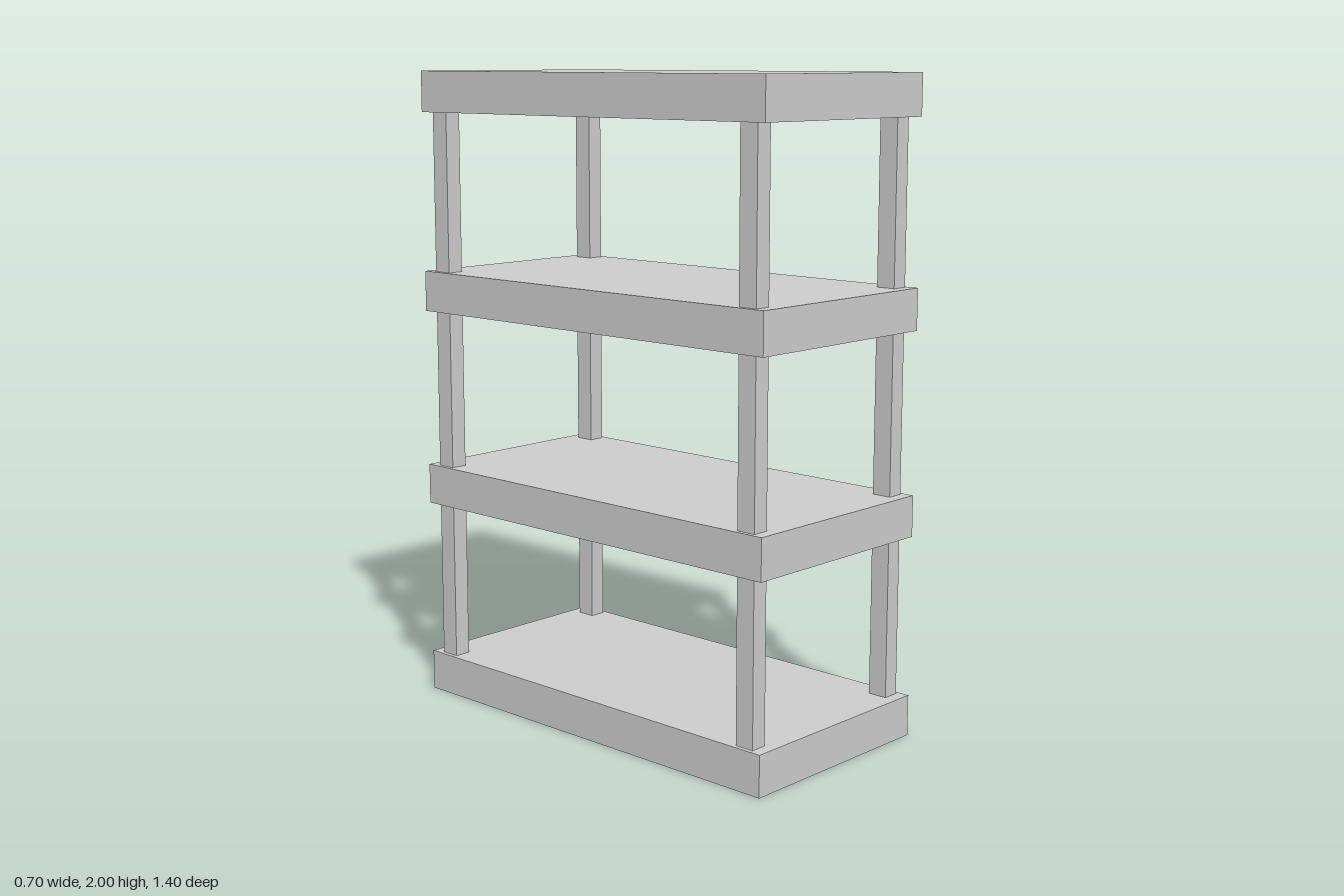
import * as THREE from 'three';

const SHELVES = 4, HEIGHT = 2, WIDTH = 0.7, DEPTH = 1.4, THICK = 0.127;
const STEP = (HEIGHT - THICK) / (SHELVES - 1);
const POST = { x: 0.31, z: 0.632, width: 0.053, depth: 0.062 };

export function createModel() {
  const rack = new THREE.Group();
  rack.name = 'shelfRack';
  const material = new THREE.MeshStandardMaterial({ color: 0xcccccc, flatShading: true });

  const addBox = (name, w, h, d, x, y, z) => {
    const mesh = new THREE.Mesh(new THREE.BoxGeometry(w, h, d), material);
    mesh.name = name;
    mesh.position.set(x, y, z);
    rack.add(mesh);
  };

  for (let i = 0; i < SHELVES; i++) {
    // Thick shelf slab
    const bottom = i * STEP;
    addBox(`shelf${i + 1}`, WIDTH, THICK, DEPTH, 0, bottom + THICK / 2, 0);
    if (i === SHELVES - 1) break;

    // Four corner posts up to the next shelf
    const gap = STEP - THICK;
    for (const sx of [-1, 1]) {
      for (const sz of [-1, 1]) {
        const name = `${sz > 0 ? 'front' : 'back'}${sx > 0 ? 'Left' : 'Right'}Post${i + 1}`;
        addBox(name, POST.width, gap, POST.depth,
          sx * POST.x, bottom + THICK + gap / 2, sz * POST.z);
      }
    }
  }
  return rack;
}
